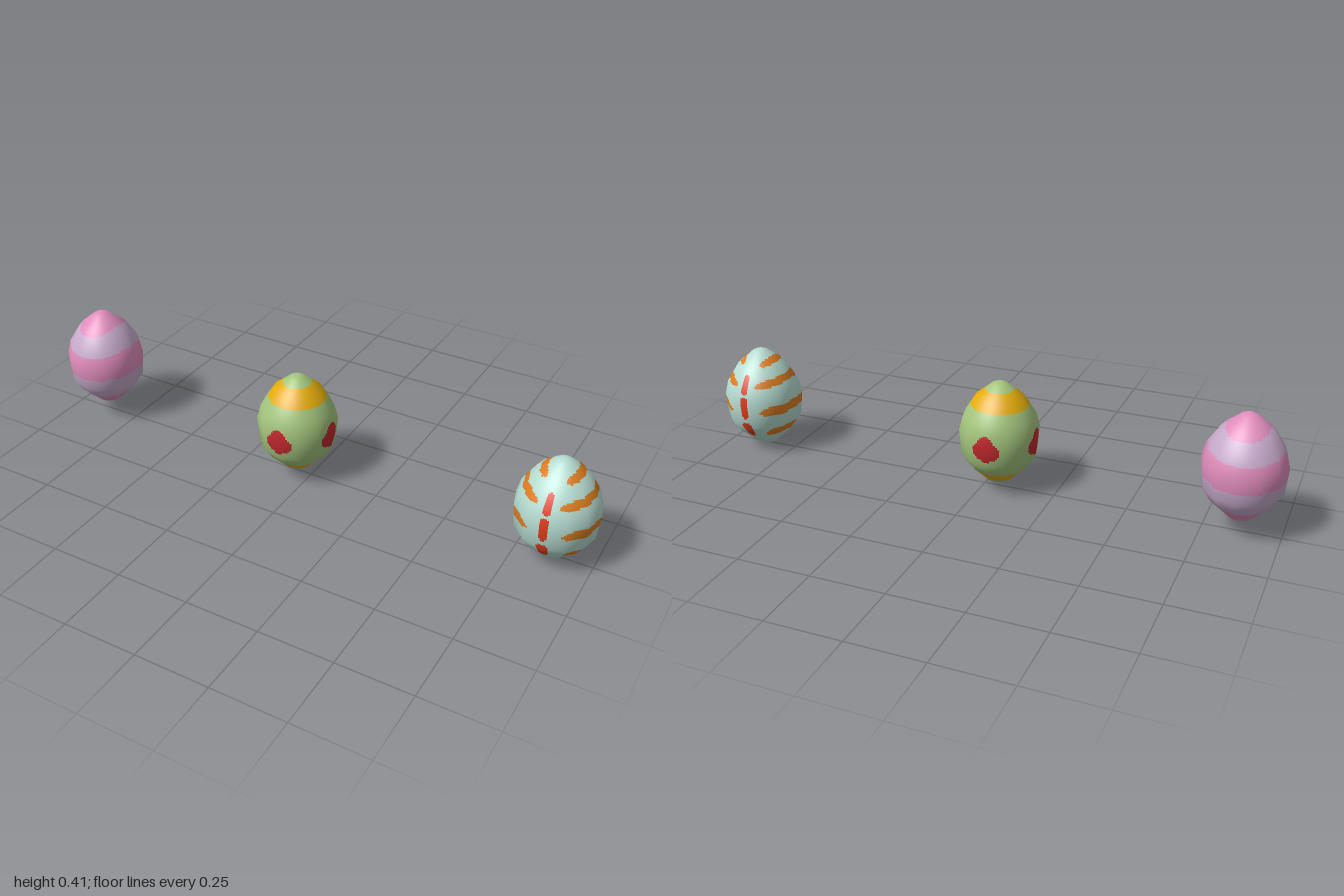
import * as THREE from 'three';

const mat = (name, color) => {
  const m = new THREE.MeshStandardMaterial({ color });
  m.name = name;
  return m;
};
const pink = mat('pink', 0xde8cba), lilac = mat('lilac', 0xc6aaca);
const green = mat('green', 0xa3c47d), yellow = mat('yellow', 0xe3ac0b), crimson = mat('crimson', 0xc0282f);
const mint = mat('mint', 0xb5dbd0), orange = mat('orange', 0xdb7d20), scarlet = mat('scarlet', 0xdc3c1c);

// Egg outline: radius, height
const PROFILE = [[0, 0], [0.04, 0.015], [0.1, 0.072], [0.128, 0.112], [0.136, 0.2],
  [0.123, 0.25], [0.082, 0.314], [0.027, 0.359], [0, 0.37]].map(p => new THREE.Vector2(...p));
const SIDES = 12, SPLIT = 10, ROWS = 12;

// Smoothed outline normals at the profile points
const NORMALS = PROFILE.map((p, i) => {
  if (i === 0) return new THREE.Vector2(0, -1);
  if (i === PROFILE.length - 1) return new THREE.Vector2(0, 1);
  const out = (a, b) => new THREE.Vector2(b.y - a.y, a.x - b.x).normalize();
  return out(PROFILE[i - 1], p).add(out(p, PROFILE[i + 1])).normalize();
});

// Twelve-sided egg, finely split so each cell takes the colour given by paint(angle from front, height)
function makeEgg(name, x, y, materials, paint) {
  const pos = [], nor = [], cells = materials.map(() => []);
  const cols = SIDES * SPLIT, rows = (PROFILE.length - 1) * ROWS;
  const step = (2 * Math.PI) / SIDES;
  const heights = [];
  for (let j = 0; j <= rows; j++) {
    const k = Math.min(Math.floor(j / ROWS), PROFILE.length - 2), t = j / ROWS - k;
    const p = PROFILE[k].clone().lerp(PROFILE[k + 1], t);
    const n = NORMALS[k].clone().lerp(NORMALS[k + 1], t).normalize();
    heights.push(p.y);
    for (let i = 0; i <= cols; i++) {
      const a0 = Math.floor(i / SPLIT) * step, f = (i % SPLIT) / SPLIT, a = (i / cols) * 2 * Math.PI;
      const sx = Math.sin(a0) * (1 - f) + Math.sin(a0 + step) * f;
      const cz = Math.cos(a0) * (1 - f) + Math.cos(a0 + step) * f;
      pos.push(p.x * sx, p.y, p.x * cz);
      nor.push(n.x * Math.sin(a), n.y, n.x * Math.cos(a));
    }
  }
  for (let j = 0; j < rows; j++) {
    for (let i = 0; i < cols; i++) {
      const a = j * (cols + 1) + i, b = a + 1, c = b + cols + 1, d = a + cols + 1;
      const list = cells[paint(((i + 0.5) / cols) * 2 * Math.PI, (heights[j] + heights[j + 1]) / 2)];
      if (j > 0) list.push(a, b, c);
      if (j === 0) list.push(a, c, d);
      else if (j < rows - 1) list.push(a, c, d);
    }
  }
  // The topmost row closes on the pole with the first triangle only
  const geo = new THREE.BufferGeometry();
  geo.setAttribute('position', new THREE.Float32BufferAttribute(pos, 3));
  geo.setAttribute('normal', new THREE.Float32BufferAttribute(nor, 3));
  geo.setIndex(cells.flat());
  let start = 0;
  cells.forEach((list, m) => {
    geo.addGroup(start, list.length, m);
    start += list.length;
  });
  const egg = new THREE.Mesh(geo, materials);
  egg.name = name;
  egg.position.set(x, y, 0);
  return egg;
}

// Signed angle to the nearest multiple of `period`
const near = (a, period) => a - Math.round(a / period) * period;

// Wavy pink and lilac bands
function paintBands(a, y) {
  const w = -Math.cos(2 * a);
  const edges = [0.062 + 0.006 * w, 0.154 + 0.006 * w, 0.246 + 0.01 * w, 0.314 + 0.012 * w];
  return edges.filter(e => y > e).length % 2;
}

// Yellow rings and four red blobs
function paintBlobs(a, y) {
  if ((y > 0.289 && y < 0.341) || (y > 0.03 && y < 0.062)) return 1;
  const s = near(a, Math.PI / 2) * 0.135;
  const inside = (cy, rx, ry) => (s / rx) ** 2 + ((y - cy) / ry) ** 2 < 1;
  return inside(0.163, 0.053, 0.034) || inside(0.193, 0.028, 0.026) ? 2 : 0;
}

// Orange side stripes [height, half width, sag, start angle]; scarlet dashes front and back [height, half height, half width]
const STRIPES = [[0.335, 0.009, 0.012, 0.45], [0.277, 0.012, 0.016, 0.3], [0.179, 0.018, 0.012, 0.43], [0.094, 0.017, 0.022, 0.55]];
const DASHES = [[0.266, 0.035, 0.015], [0.184, 0.041, 0.017], [0.096, 0.034, 0.023]];
function paintStripes(a, y) {
  const s = near(a, Math.PI);
  for (const [h, hh, hw] of DASHES) {
    if (((s * 0.13) / hw) ** 2 + Math.abs((y - h) / hh) ** 3 < 1) return 2;
  }
  for (const [h, half, sag, from] of STRIPES) {
    const mid = h - sag * Math.cos(s) ** 2;
    const taper = Math.min(1, Math.max(0, (Math.abs(s) - from) / 0.25));
    if (Math.abs(y - mid) < half * Math.sqrt(taper)) return 1;
  }
  return 0;
}

export function createModel() {
  const group = new THREE.Group();
  group.name = 'paintedEggs';
  group.add(
    makeEgg('bandedEgg', -0.864, 0.041, [pink, lilac], paintBands),
    makeEgg('blobEgg', -0.053, 0.016, [green, yellow, crimson], paintBlobs),
    makeEgg('stripedEgg', 0.864, 0.0, [mint, orange, scarlet], paintStripes),
  );
  return group;
}
